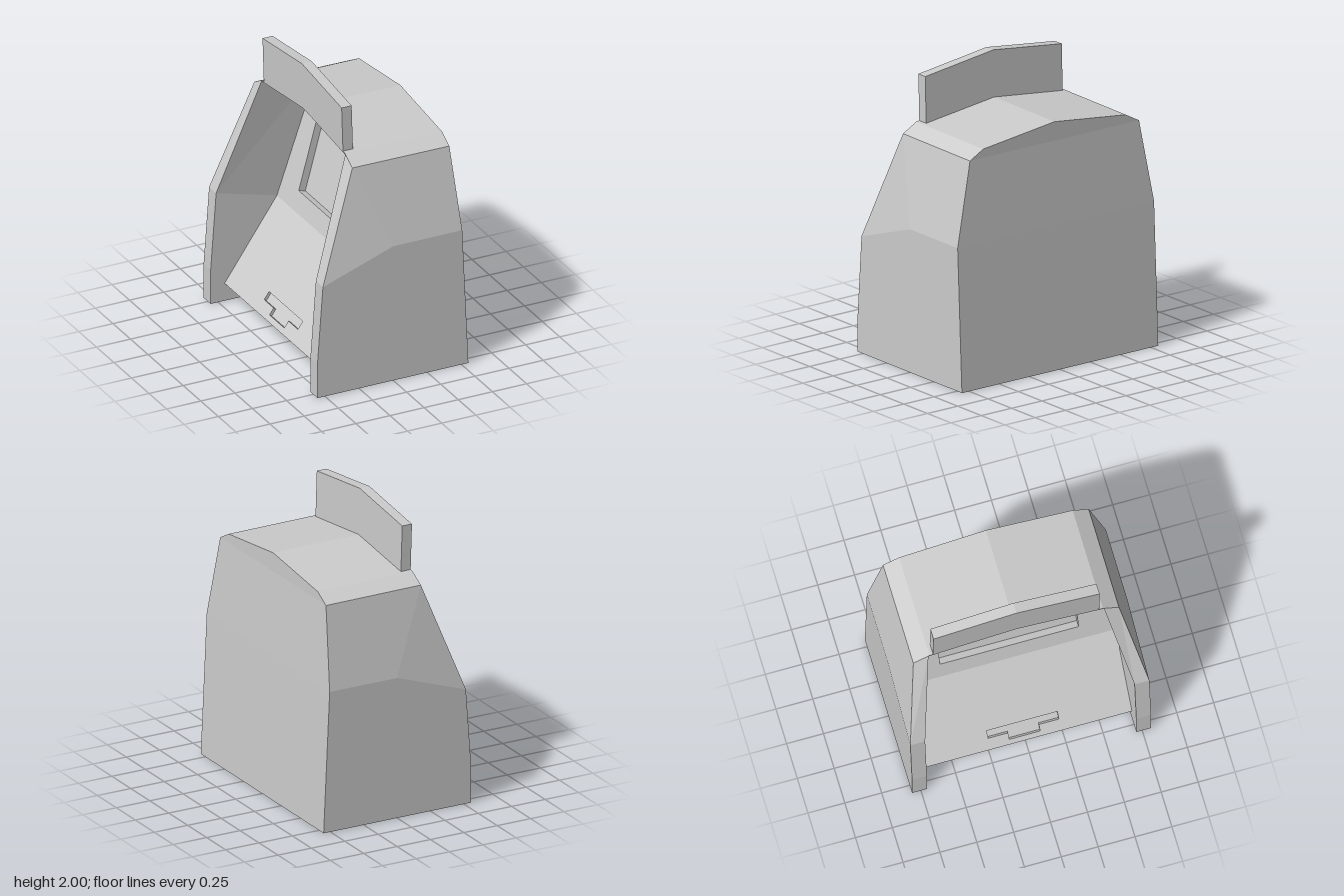
import * as THREE from 'three';

const material = new THREE.MeshStandardMaterial({ color: 0xcccccc, flatShading: true, side: THREE.DoubleSide });
const LEAN = -0.012; // the upper half sits slightly off centre

// Flat polygons (fans) gathered into one mesh, mirrored across z = 0
function mirroredFaces(name, polygons) {
  const pos = [];
  for (const s of [1, -1]) {
    for (const poly of polygons) {
      const pts = poly.map(([x, y, z]) => [x, y, z * s + (y > 1.2 ? LEAN : 0)]);
      if (s < 0) pts.reverse();
      for (let i = 1; i < pts.length - 1; i++) pos.push(...pts[0], ...pts[i], ...pts[i + 1]);
    }
  }
  const geo = new THREE.BufferGeometry();
  geo.setAttribute('position', new THREE.Float32BufferAttribute(pos, 3));
  geo.computeVertexNormals();
  const mesh = new THREE.Mesh(geo, material);
  mesh.name = name;
  return mesh;
}

const toPoints = (list) => list.map(([x, y]) => new THREE.Vector2(x, y));

// Sloping panel with a recess; local x runs along +z, local y up the slope from a to b
function recessedPanel(name, a, b, outline, hole, depth) {
  const group = new THREE.Group();
  group.name = name;
  const shape = new THREE.Shape(toPoints(outline));
  shape.holes.push(new THREE.Path(toPoints(hole)));
  const plate = new THREE.Mesh(
    new THREE.ExtrudeGeometry(shape, { depth, bevelEnabled: false }).translate(0, 0, -depth), material);
  plate.name = name + 'Plate';
  const floor = new THREE.Mesh(
    new THREE.ShapeGeometry(new THREE.Shape(toPoints(hole))).translate(0, 0, -depth), material);
  floor.name = name + 'Recess';
  group.add(plate, floor);
  const u = new THREE.Vector3(0, 0, 1);
  const v = new THREE.Vector3(b[0] - a[0], b[1] - a[1], 0).normalize();
  const n = new THREE.Vector3().crossVectors(u, v);
  group.quaternion.setFromRotationMatrix(new THREE.Matrix4().makeBasis(u, v, n));
  group.position.set(a[0], a[1], 0);
  return group;
}

export function createModel() {
  const model = new THREE.Group();
  model.name = 'cabinet';

  // Front edge of a side wall: outer and inner corners
  const outer = [[-0.555, 0, 0.81], [-0.555, 0.25, 0.81], [-0.515, 0.8, 0.81], [-0.235, 1.55, 0.697]];
  const inner = [[-0.555, 0, 0.71], [-0.555, 0.25, 0.71], [-0.515, 0.8, 0.71], [-0.235, 1.6, 0.595]];
  const shoulder = [-0.235, 1.61, 0.588];
  // Rear edge, bottom to ridge
  const rear = [[0.55, 0, 0.81], [0.505, 0.98, 0.81], [0.475, 1.545, 0.697], [0.475, 1.605, 0.588], [0.475, 1.675, 0]];
  const crease = [0, 0.98, 0.81];
  const ridge = [-0.235, 1.68, 0];

  // Profile of the sloping panels between the side walls
  const heel = [-0.3, 0], sill = [-0.453, 0.127], bend = [-0.07, 0.68], head = [0.18, 1.61];
  const at = ([x, y], z) => [x, y, z];

  // Side walls
  const frontStrips = [0, 1, 2].map((i) => [inner[i], outer[i], outer[i + 1], inner[i + 1]]);
  model.add(mirroredFaces('sideWalls', [
    [crease, outer[2], outer[1], outer[0], rear[0], rear[1]],
    [outer[2], crease, outer[3]],
    [crease, rear[1], rear[2], outer[3]],
    ...frontStrips,
    [inner[3], outer[3], shoulder],
    [at(sill, 0.71), at(heel, 0.71), inner[0], inner[1], inner[2], at(bend, 0.71)],
    [at(bend, 0.71), inner[2], inner[3], [0.18, 1.6, 0.595]],
  ]));

  // Roof with chamfered shoulders and a thin front lip
  model.add(mirroredFaces('roof', [
    [outer[3], rear[2], rear[3], shoulder],
    [shoulder, rear[3], rear[4], ridge],
    [inner[3], shoulder, ridge, [-0.235, 1.67, 0]],
    [inner[3], [-0.235, 1.67, 0], [0.18, 1.67, 0], [0.18, 1.6, 0.595]],
  ]));

  // Rear wall in level strips from the centre line outwards
  model.add(mirroredFaces('rearWall', [0, 1, 2, 3].map((i) => {
    const p = rear[i], q = rear[i + 1];
    return [p, [p[0], p[1], 0], [q[0], q[1], 0], q];
  })));

  // Underside and toe kick
  model.add(mirroredFaces('base', [
    [[-0.555, 0, 0.71], [0.55, 0, 0.71], [0.55, 0, 0.81], [-0.555, 0, 0.81]],
    [at(heel, 0), [0.55, 0, 0], [0.55, 0, 0.71], at(heel, 0.71)],
    [at(heel, 0), at(heel, 0.71), at(sill, 0.71), at(sill, 0)],
  ]));

  // Lower panel with a T-shaped slot
  const lowerLength = Math.hypot(bend[0] - sill[0], bend[1] - sill[1]);
  model.add(recessedPanel('lowerPanel', sill, bend,
    [[-0.71, 0], [0.71, 0], [0.71, lowerLength], [-0.71, lowerLength]],
    [[-0.115, 0.04], [0.095, 0.04], [0.095, 0.093], [0.23, 0.093],
      [0.23, 0.155], [-0.25, 0.155], [-0.25, 0.093], [-0.115, 0.093]], 0.02));

  // Upper panel with the screen recess
  model.add(recessedPanel('screenPanel', bend, head,
    [[-0.71, 0], [0.71, 0], [0.583, 0.953], [LEAN, 1.02], [-0.607, 0.953]],
    [[-0.47, 0.14], [0.47, 0.14], [0.47, 0.78], [-0.47, 0.78]], 0.05));

  // Gabled header board, leaning slightly forward
  const board = new THREE.Shape(toPoints(
    [[-0.563, 1.605], [0, 1.672], [0.563, 1.605], [0.563, 1.93], [0, 2], [-0.563, 1.93]]));
  const boardGeo = new THREE.ExtrudeGeometry(board, { depth: 0.073, bevelEnabled: false });
  boardGeo.rotateY(-Math.PI / 2).translate(-0.162, 0, LEAN);
  const p = boardGeo.attributes.position;
  for (let i = 0; i < p.count; i++) p.setX(i, p.getX(i) - 0.03 * (p.getY(i) - 1.61));
  boardGeo.computeVertexNormals();
  const header = new THREE.Mesh(boardGeo, material);
  header.name = 'headerBoard';
  model.add(header);

  return model;
}
